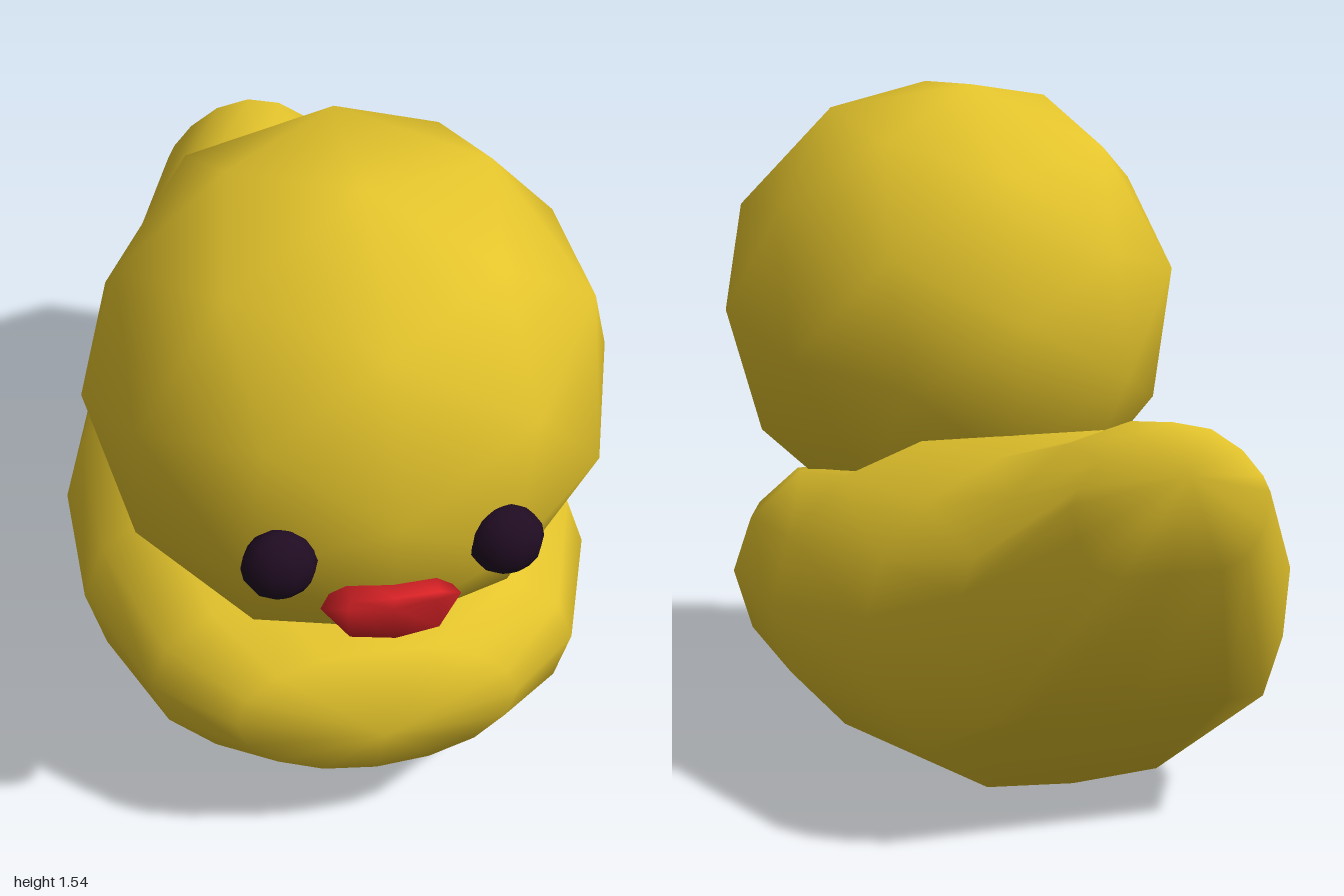
import * as THREE from 'three';

// Skin closed between two tips through rings of equal length;
// each ring runs counter-clockwise as seen from the start tip.
function loft(startTip, rings, endTip) {
  const n = rings[0].length;
  const points = [startTip, ...rings.flat(), endTip];
  const last = points.length - 1;
  const at = (i, j) => 1 + i * n + (j % n);
  const index = [];
  for (let j = 0; j < n; j++) {
    index.push(0, at(0, j), at(0, j + 1));
    for (let i = 0; i < rings.length - 1; i++) {
      const a = at(i, j), b = at(i, j + 1), c = at(i + 1, j), d = at(i + 1, j + 1);
      index.push(a, c, b, b, c, d);
    }
    index.push(last, at(rings.length - 1, j + 1), at(rings.length - 1, j));
  }
  const geometry = new THREE.BufferGeometry();
  geometry.setAttribute('position', new THREE.Float32BufferAttribute(points.flat(), 3));
  geometry.setIndex(index);
  geometry.computeVertexNormals();
  return geometry;
}

function bodyGeometry() {
  // Rounded sections, cut flat at bottom and top; "peak" above 1 sharpens the
  // upper half into a ridge, "box" below 1 squares off the lower half.
  const sections = [
    { z: 0.82, w: 0.30, mid: 0.40, drop: 0.17, rise: 0.16, bottom: 0.23, top: 0.555, peak: 1, box: 1 },
    { z: 0.67, w: 0.46, mid: 0.40, drop: 0.27, rise: 0.25, bottom: 0.13, top: 0.58, peak: 1, box: 1 },
    { z: 0.35, w: 0.57, mid: 0.40, drop: 0.37, rise: 0.325, bottom: 0.04, top: 0.63, peak: 1, box: 1 },
    { z: -0.02, w: 0.575, mid: 0.40, drop: 0.41, rise: 0.395, bottom: 0, top: 0.75, peak: 1, box: 1 },
    { z: -0.40, w: 0.47, mid: 0.45, drop: 0.43, rise: 0.35, bottom: 0.04, top: 0.80, peak: 1.1, box: 0.9 },
    { z: -0.71, w: 0.362, mid: 0.56, drop: 0.38, rise: 0.33, bottom: 0.29, top: 0.89, peak: 1.6, box: 0.5 },
    { z: -0.92, w: 0.21, mid: 0.77, drop: 0.18, rise: 0.15, bottom: 0.62, top: 0.92, peak: 1.6, box: 0.7 },
  ];
  const rings = sections.map(({ z, w, mid, drop, rise, bottom, top, peak, box }) =>
    Array.from({ length: 16 }, (_, j) => {
      const a = (j / 16) * Math.PI * 2, s = Math.sin(a), c = Math.cos(a);
      if (s >= 0) return [w * c, Math.min(mid + rise * s ** peak, top), z];
      return [w * Math.sign(c) * Math.abs(c) ** box, Math.max(mid + drop * s, bottom), z];
    }));
  return loft([0, 0.4, 0.905], rings, [0, 0.83, -1]);
}

function beakGeometry() {
  // Side profile (z, y offset) with a soft notch between the two lips
  const profile = [[0.98, 0.052], [0.95, 0], [0.977, -0.052], [0.89, -0.058], [0.89, 0.058]];
  const rings = [0.09, 0, -0.09].map((x) => {
    const side = Math.abs(x) / 0.09;
    return profile.map(([z, y]) => [x, 0.778 + y * (1 - 0.12 * side), z - 0.012 * side]);
  });
  return loft([0.142, 0.778, 0.925], rings, [-0.142, 0.778, 0.925]);
}

export function createModel() {
  const material = (name, color) => {
    const m = new THREE.MeshStandardMaterial({ color });
    m.name = name;
    return m;
  };
  const yellow = material('yellow', 0xe4c42c);
  const red = material('red', 0xd82226);
  const dark = material('dark purple', 0x200c22);

  const model = new THREE.Group();
  model.name = 'duck';
  const add = (name, geometry, mat) => {
    const mesh = new THREE.Mesh(geometry, mat);
    mesh.name = name;
    model.add(mesh);
    return mesh;
  };

  add('body', bodyGeometry(), yellow);

  // Faceted ball turned so that two of its poles lie on the x axis
  const ball = new THREE.IcosahedronGeometry(0.555, 1);
  ball.rotateZ(THREE.MathUtils.degToRad(58.28));
  add('head', ball, yellow).position.set(0, 1.01, 0.445);

  add('beak', beakGeometry(), red);

  // Flattened eyes, mirrored
  for (const side of [1, -1]) {
    const eye = add(side > 0 ? 'leftEye' : 'rightEye', new THREE.SphereGeometry(0.076, 10, 8), dark);
    eye.position.set(side * 0.225, 0.912, 0.937);
    eye.scale.z = 0.74;
  }
  return model;
}
